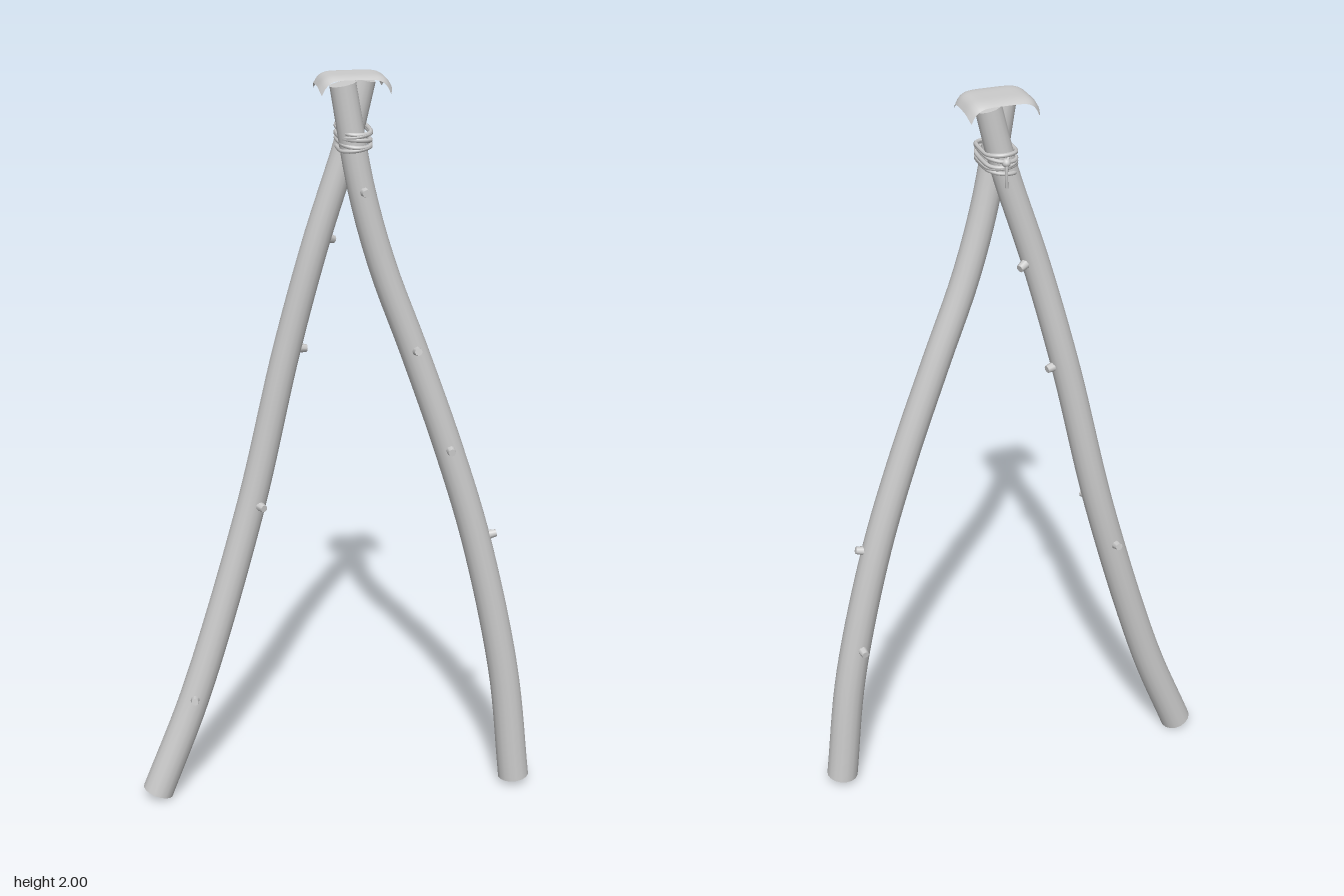
import * as THREE from 'three';

const V = (x, y, z) => new THREE.Vector3(x, y, z);
const wood = new THREE.MeshStandardMaterial({ color: 0xcccccc, side: THREE.DoubleSide });
wood.name = 'paleGrey';

function add(parent, geometry, name) {
  const mesh = new THREE.Mesh(geometry, wood);
  mesh.name = name;
  parent.add(mesh);
  return mesh;
}

// Tapered pole swept along a curve, closed with a disc at both ends
function makePole(name, points, rBottom, rTop) {
  const group = new THREE.Group();
  group.name = name;
  const curve = new THREE.CatmullRomCurve3(points.map(p => V(...p)));
  const rings = 40, sides = 16;
  const geo = new THREE.TubeGeometry(curve, rings, 1, sides);
  const pos = geo.attributes.position, v = V(0, 0, 0);
  for (let i = 0; i <= rings; i++) {
    const u = i / rings, c = curve.getPointAt(u);
    const r = THREE.MathUtils.lerp(rBottom, rTop, u);
    for (let j = 0; j <= sides; j++) {
      const k = i * (sides + 1) + j;
      v.fromBufferAttribute(pos, k).sub(c).multiplyScalar(r).add(c);
      pos.setXYZ(k, v.x, v.y, v.z);
    }
  }
  add(group, geo, name + 'Shaft');
  for (const [u, r, s] of [[0, rBottom, -1], [1, rTop, 1]]) {
    const end = add(group, new THREE.CircleGeometry(r, sides), name + 'End');
    end.position.copy(curve.getPointAt(u));
    end.quaternion.setFromUnitVectors(V(0, 0, 1), curve.getTangentAt(u).multiplyScalar(s));
  }
  return { group, curve };
}

// Small cut twig stub standing out from the pole, pointing away from its axis
function addStubs(pole, places) {
  const samples = pole.curve.getSpacedPoints(200);
  for (const p of places) {
    const at = V(...p);
    const near = samples.reduce((a, b) => (b.distanceTo(at) < a.distanceTo(at) ? b : a));
    const stub = add(pole.group, new THREE.CylinderGeometry(0.01, 0.014, 0.03, 8), 'twigStub');
    stub.position.copy(at);
    stub.quaternion.setFromUnitVectors(V(0, 1, 0), at.clone().sub(near).normalize());
  }
}

export function createModel() {
  const model = new THREE.Group();
  model.name = 'twoPoleStand';

  // Rear pole, foot on the -x side
  const rear = makePole('rearPole', [
    [-0.5, 0.02, -0.032], [-0.385, 0.31, -0.045], [-0.225, 0.84, -0.06], [-0.125, 1.28, -0.047],
    [-0.05, 1.57, -0.028], [0.03, 1.83, -0.017], [0.066, 1.98, -0.014]], 0.043, 0.033);
  addStubs(rear, [[-0.392, 0.31, -0.003], [-0.2, 0.86, -0.024], [-0.085, 1.285, -0.055],
    [-0.012, 1.575, -0.045], [-0.262, 0.73, -0.099]]);

  // Front pole, foot on the +x side
  const front = makePole('frontPole', [
    [0.495, 0.025, 0.06], [0.455, 0.36, 0.058], [0.37, 0.75, 0.053], [0.285, 1.03, 0.05],
    [0.19, 1.3, 0.046], [0.108, 1.52, 0.047], [0.052, 1.72, 0.049], [0.005, 1.98, 0.05]], 0.043, 0.033);
  addStubs(front, [[0.055, 1.72, 0.083], [0.192, 1.305, 0.083], [0.285, 1.03, 0.088],
    [0.408, 0.77, 0.055], [0.427, 0.47, 0.014]]);
  model.add(rear.group, front.group);

  // Cord lashing: slightly tilted loops round both poles
  const lashing = new THREE.Group();
  lashing.name = 'lashing';
  for (let i = 0; i < 5; i++) {
    const pts = [];
    const y = 1.824 + i * 0.0105;
    for (let k = 0; k < 20; k++) {
      const a = (k + 0.5) / 20 * Math.PI * 2;
      const z = (Math.sin(a) > 0 ? 0.049 : -0.017) + 0.037 * Math.sin(a);
      pts.push(V(0.037 + 0.037 * Math.cos(a), y + 0.005 * Math.cos(a + i * 2), z));
    }
    add(lashing, new THREE.TubeGeometry(new THREE.CatmullRomCurve3(pts, true), 48, 0.0055, 6, true), 'cordLoop');
  }
  // Loose cord end and its knot at the back
  const tail = new THREE.CatmullRomCurve3([V(0.03, 1.865, -0.053), V(0.036, 1.85, -0.06),
    V(0.038, 1.82, -0.061), V(0.036, 1.79, -0.058)]);
  add(lashing, new THREE.TubeGeometry(tail, 12, 0.004, 6), 'cordTail');
  const knot = add(lashing, new THREE.SphereGeometry(0.011, 10, 8), 'cordKnot');
  knot.position.set(0.036, 1.852, -0.055);
  model.add(lashing);

  // Draped cover sheet with rounded corners and turned-down sides
  const cover = new THREE.PlaneGeometry(2, 2, 24, 24);
  cover.rotateX(-Math.PI / 2);
  const p = cover.attributes.position;
  for (let i = 0; i < p.count; i++) {
    const u = p.getX(i), w = p.getZ(i);
    const x = 0.035 + 0.09 * u * (1 - 0.06 * w ** 6);
    const z = 0.012 + 0.066 * w * (1 - 0.08 * u ** 6);
    const y = 2 - 0.027 * Math.abs(u) ** 7 - 0.008 * w ** 4 - 0.01 * (u * w) ** 4;
    p.setXYZ(i, x, y, z);
  }
  cover.computeVertexNormals();
  add(model, cover, 'coverSheet');

  return model;
}
